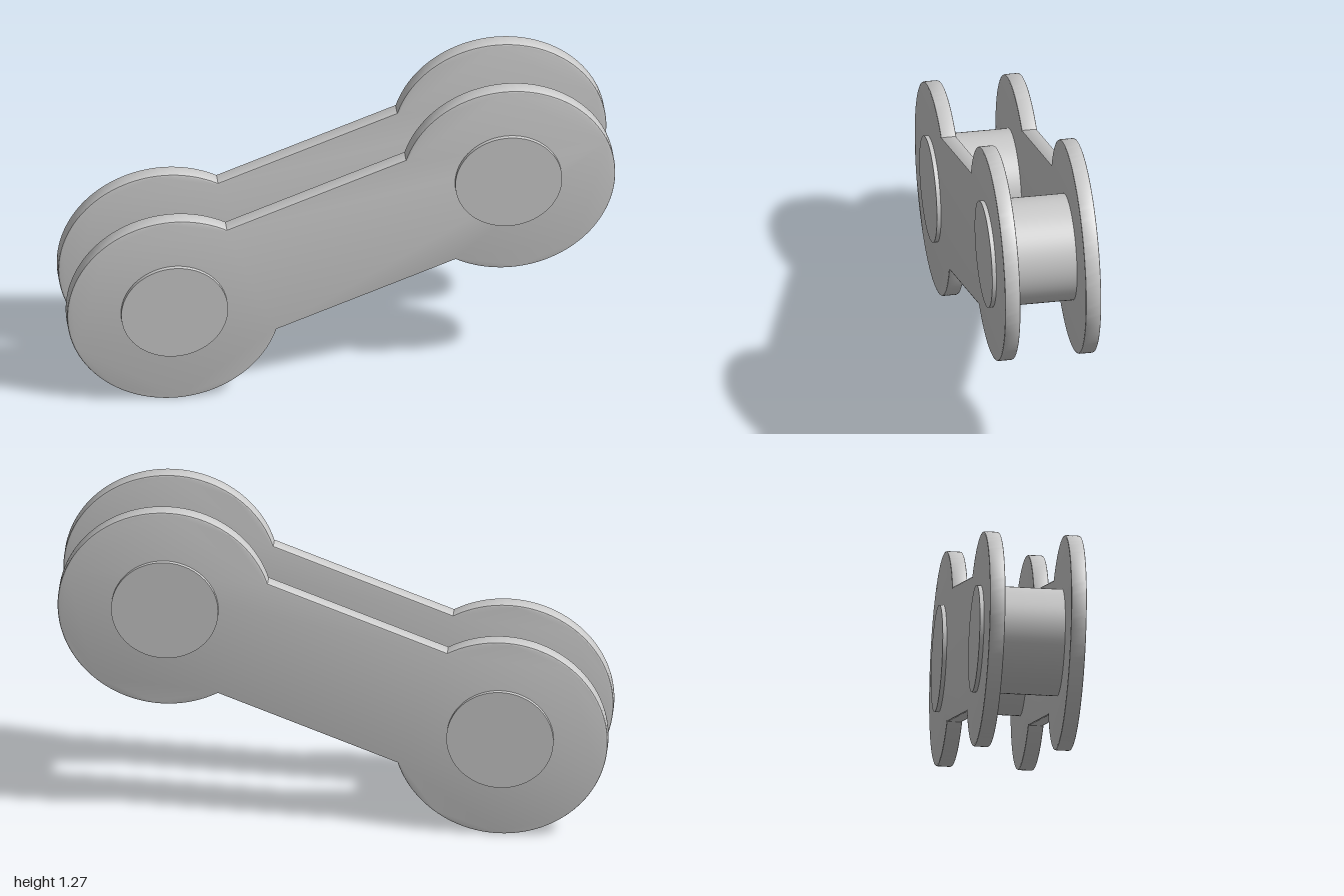
import * as THREE from 'three';
import { toCreasedNormals } from 'three/addons/utils/BufferGeometryUtils.js';

const CENTRE_Y = 0.637;
const SPAN = Math.hypot(0.61, 0.243); // half distance between the pin centres
const TILT = Math.atan2(0.243, 0.61);
const END_R = 0.391, BAR_HALF = 0.245, PIN_R = 0.195;
const INNER_Z = 0.12, THICK = 0.057, BEVEL = 0.006, PIN_LENGTH = 0.384;

// Link outline: two round ends joined by a narrower straight bar
function plateGeometry() {
  const a = Math.asin(BAR_HALF / END_R);
  const shape = new THREE.Shape();
  shape.absarc(SPAN, 0, END_R, -Math.PI + a, Math.PI - a, false);
  shape.absarc(-SPAN, 0, END_R, a, 2 * Math.PI - a, false);
  shape.closePath();
  const geometry = new THREE.ExtrudeGeometry(shape, {
    depth: THICK - 2 * BEVEL, curveSegments: 64,
    bevelEnabled: true, bevelThickness: BEVEL, bevelSize: BEVEL, bevelOffset: -BEVEL, bevelSegments: 2,
  });
  geometry.translate(0, 0, -(THICK - 2 * BEVEL) / 2);
  return toCreasedNormals(geometry, 0.6);
}

export function createModel() {
  const material = new THREE.MeshStandardMaterial({ color: 0xcccccc });
  const model = new THREE.Group();
  model.name = 'chainLink';

  const link = new THREE.Group();
  link.name = 'tiltedLink';
  link.position.y = CENTRE_Y;
  link.rotation.z = TILT;
  model.add(link);

  // Front and back side plates
  const plate = plateGeometry();
  for (const [name, side] of [['frontPlate', 1], ['backPlate', -1]]) {
    const mesh = new THREE.Mesh(plate, material);
    mesh.name = name;
    mesh.position.z = side * (INNER_Z + THICK / 2);
    link.add(mesh);
  }

  // Pins through both plates, standing slightly proud of them
  const pin = new THREE.CylinderGeometry(PIN_R, PIN_R, PIN_LENGTH, 64);
  pin.rotateX(Math.PI / 2);
  for (const [name, side] of [['leftPin', 1], ['rightPin', -1]]) {
    const mesh = new THREE.Mesh(pin, material);
    mesh.name = name;
    mesh.position.x = side * SPAN;
    link.add(mesh);
  }
  return model;
}
